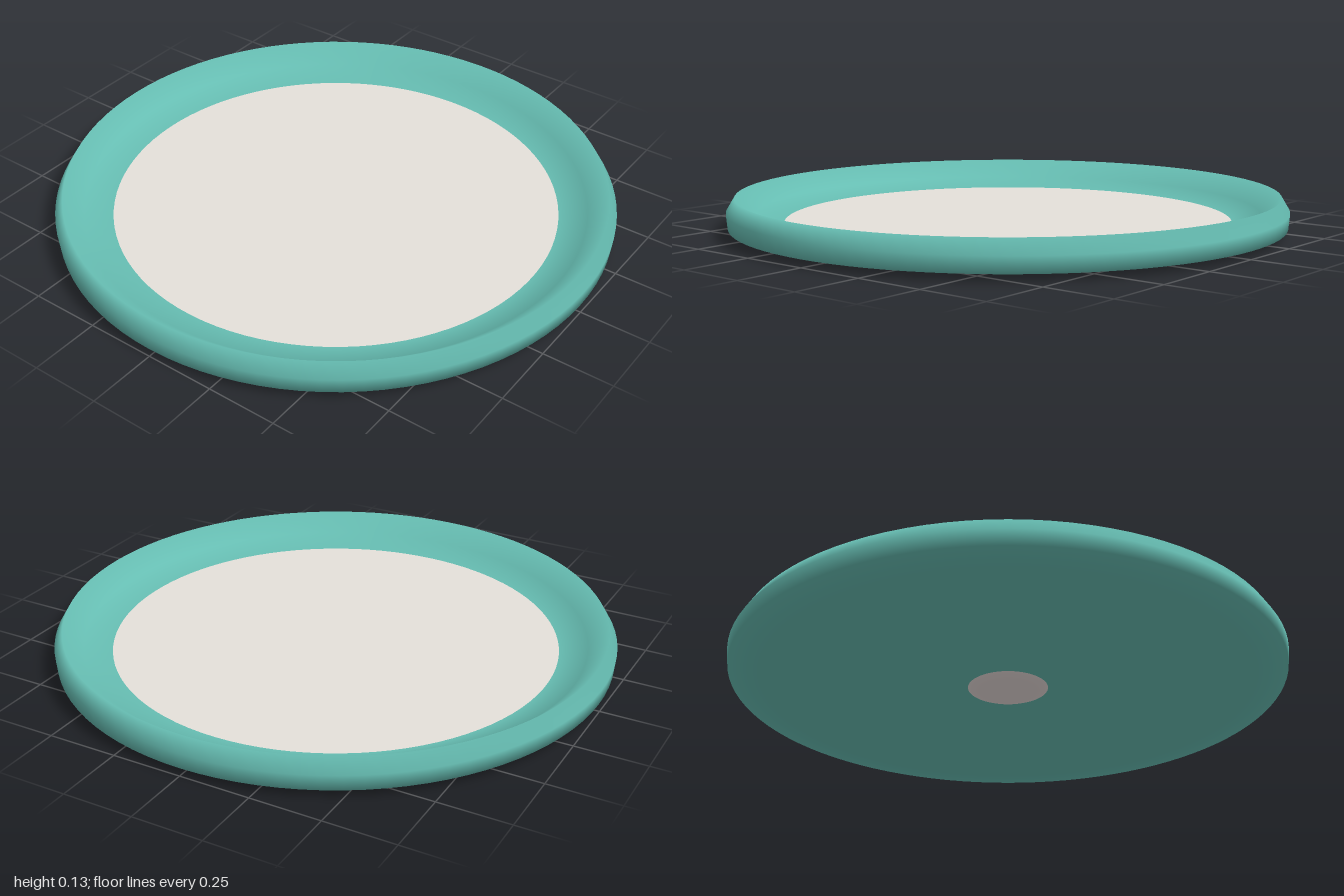
import * as THREE from 'three';

const SEGMENTS = 96;

function lathe(name, points, color) {
  const profile = points.map(([r, y]) => new THREE.Vector2(r, y));
  const material = new THREE.MeshStandardMaterial({ color });
  const mesh = new THREE.Mesh(new THREE.LatheGeometry(profile, SEGMENTS), material);
  mesh.name = name;
  return mesh;
}

export function createModel() {
  const group = new THREE.Group();
  group.name = 'plate';

  // Dish: underside, rounded outer wall, raised rim, sloping inner wall and floor
  group.add(lathe('dish', [
    [0, 0.014], [0.5, 0.014], [0.89, 0.014], [0.995, 0.025], [1, 0.08],
    [0.97, 0.13], [0.9, 0.065], [0.8, 0.03], [0.5, 0.03], [0, 0.03],
  ], 0x66bdb2));

  // Pale round inlay covering the floor
  const inlay = new THREE.Mesh(
    new THREE.CircleGeometry(0.8, SEGMENTS).rotateX(-Math.PI / 2),
    new THREE.MeshStandardMaterial({ color: 0xe4e0da }),
  );
  inlay.name = 'inlay';
  inlay.position.y = 0.034;
  group.add(inlay);

  // Small shallow foot in the middle of the underside
  group.add(lathe('foot', [
    [0, 0], [0.09, 0], [0.125, 0.005], [0.145, 0.0145],
  ], 0xe8dcda));

  return group;
}
